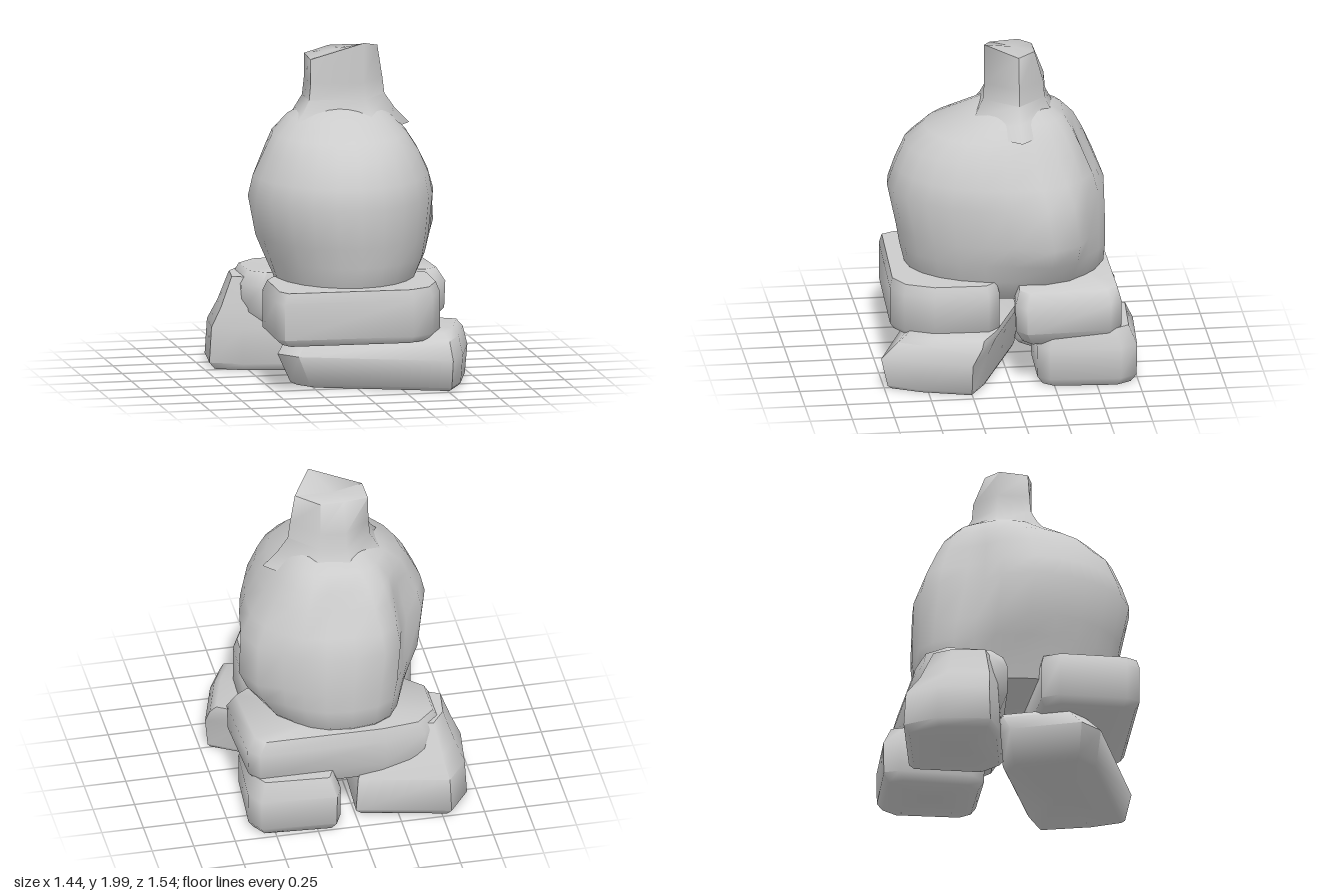
import * as THREE from 'three';
import { toCreasedNormals } from 'three/addons/utils/BufferGeometryUtils.js';

// Skins a stack of rings (each a counterclockwise list of Vector3) and caps both ends.
function loft(name, rings, crease) {
  const n = rings[0].length, pos = [], idx = [];
  rings.forEach(r => r.forEach(p => pos.push(p.x, p.y, p.z)));
  for (let i = 0; i < rings.length - 1; i++) {
    for (let j = 0; j < n; j++) {
      const a = i * n + j, b = i * n + (j + 1) % n;
      idx.push(a, b, b + n, a, b + n, a + n);
    }
  }
  [0, rings.length - 1].forEach(i => {
    const c = new THREE.Vector3();
    rings[i].forEach(p => c.addScaledVector(p, 1 / n));
    const k = pos.length / 3;
    pos.push(c.x, c.y, c.z);
    for (let j = 0; j < n; j++) {
      const a = i * n + j, b = i * n + (j + 1) % n;
      if (i) idx.push(k, a, b); else idx.push(k, b, a);
    }
  });
  const g = new THREE.BufferGeometry();
  g.setAttribute('position', new THREE.Float32BufferAttribute(pos, 3));
  g.setIndex(idx);
  const mesh = new THREE.Mesh(toCreasedNormals(g, crease),
    new THREE.MeshStandardMaterial({ color: 0xcccccc }));
  mesh.name = name;
  return mesh;
}

// Rough block: an [x, z] footprint raised through [y, scale, xShift, zShift] levels.
function stone(name, footprint, levels) {
  const n = footprint.length;
  const cx = footprint.reduce((s, p) => s + p[0], 0) / n;
  const cz = footprint.reduce((s, p) => s + p[1], 0) / n;
  return loft(name, levels.map(([y, s, dx = 0, dz = 0]) => footprint.map(([x, z]) =>
    new THREE.Vector3(cx + (x - cx) * s + dx, y, cz + (z - cz) * s + dz))), 1.1);
}

const bump = (v, centre, width) => Math.exp(-(((v - centre) / width) ** 2));

// Bulbous body: [y, xMin, xMax, zMin, zMax]
function body() {
  const N = 24;
  const profile = [
    [0.50, -0.38, 0.40, -0.50, 0.50],
    [0.62, -0.43, 0.45, -0.61, 0.57],
    [0.74, -0.47, 0.50, -0.62, 0.60],
    [0.86, -0.51, 0.52, -0.62, 0.62],
    [1.10, -0.56, 0.54, -0.62, 0.67],
    [1.22, -0.53, 0.52, -0.59, 0.63],
    [1.36, -0.46, 0.46, -0.53, 0.57],
    [1.46, -0.40, 0.40, -0.47, 0.45],
    [1.55, -0.29, 0.32, -0.38, 0.24],
    [1.62, -0.17, 0.23, -0.25, 0.10]
  ];
  const rings = profile.map(([y, x0, x1, z0, z1]) => {
    const ring = [];
    for (let j = 0; j < N; j++) {
      const a = j / N * Math.PI * 2, s = Math.sin(a), c = Math.cos(a);
      // the back is squarer than the front
      const e = c < 0 ? 0.84 : 1;
      const ux = Math.sign(s) * Math.abs(s) ** e, uz = Math.sign(c) * Math.abs(c) ** e;
      const k = 1
        - 0.26 * bump(a, 4.08, 0.36) * bump(y, 1.15, 0.38) // hollow in the back right
        - 0.14 * bump(a, 3.0, 0.28) * bump(y, 1.38, 0.18)  // valley under the neck
        - 0.12 * bump(a, 4.4, 0.5) * bump(y, 0.58, 0.18)   // undercut on the right
        + 0.26 * bump(a, 1.92, 0.3) * bump(y, 0.9, 0.29);  // leaf fold on the back left
      ring.push(new THREE.Vector3(
        (x0 + x1) / 2 + (x1 - x0) / 2 * ux * k, y,
        (z0 + z1) / 2 + (z1 - z0) / 2 * uz * k));
    }
    return ring;
  });
  return loft('body', rings, 1.2);
}

// Six-sided neck, flared at the foot and cut at a slant on top
function neck() {
  const foot = [[-0.18, 0.05], [0.13, 0.11], [0.28, -0.08], [0.13, -0.24], [-0.02, -0.26], [-0.18, -0.14]];
  const top = [[-0.18, 1.90, 0.04], [0.13, 2.0, 0.11], [0.25, 1.95, -0.08],
    [0.12, 1.94, -0.19], [-0.02, 1.94, -0.19], [-0.18, 1.91, -0.13]];
  const rings = [[1.48, 1.65], [1.57, 1.3], [1.66, 1.05], [1.76, 1]].map(([y, s]) =>
    foot.map(([x, z]) => new THREE.Vector3(0.03 + (x - 0.03) * s, y, -0.08 + (z + 0.08) * s)));
  rings.push(top.map(p => new THREE.Vector3(...p)));
  return loft('neck', rings, 1.3);
}

export function createModel() {
  const group = new THREE.Group();
  group.name = 'gourdOnStones';
  group.add(body(), neck());

  // lower stones
  group.add(stone('lowerFrontStone',
    [[-0.44, 0.32], [-0.34, 0.45], [0.52, 0.77], [0.62, 0.58], [0.72, 0.25], [0.53, 0.14], [-0.16, -0.13], [-0.28, -0.08]],
    [[0.01, 0.87, 0.04], [0.03, 0.92, 0.03], [0.20, 1], [0.30, 0.92, 0.03, -0.06], [0.34, 0.84, 0.04, -0.08]]));
  group.add(stone('lowerBackLeftStone',
    [[0.14, -0.77], [0.10, -0.68], [0.10, -0.24], [0.18, -0.16], [0.56, -0.15], [0.62, -0.22], [0.65, -0.64], [0.59, -0.74]],
    [[0.01, 0.88], [0.06, 0.99], [0.25, 1], [0.36, 0.84]]));
  group.add(stone('lowerBackRightStone',
    [[-0.55, -0.76], [-0.68, -0.58], [-0.72, -0.27], [-0.54, -0.18], [-0.14, -0.10], [-0.02, -0.2], [0, -0.64]],
    [[0.01, 0.9], [0.05, 1], [0.26, 0.96], [0.38, 0.8, 0, 0.03], [0.56, 0.6, 0, 0.04]]));

  // upper stones
  group.add(stone('upperFrontStone',
    [[-0.51, 0.58], [-0.47, 0.66], [0.30, 0.69], [0.43, 0.62], [0.51, 0.45], [0.52, 0.13], [0.45, 0.06], [-0.44, 0.08], [-0.50, 0.18]],
    [[0.30, 0.92], [0.34, 1], [0.56, 1], [0.62, 0.95]]));
  group.add(stone('upperBackStone',
    [[-0.54, -0.50], [-0.54, -0.22], [-0.44, -0.12], [0.58, -0.02], [0.66, -0.08], [0.64, -0.58], [0.58, -0.65], [-0.18, -0.65], [-0.42, -0.62]],
    [[0.27, 0.86], [0.36, 0.99], [0.52, 1], [0.60, 0.92]]));
  return group;
}
